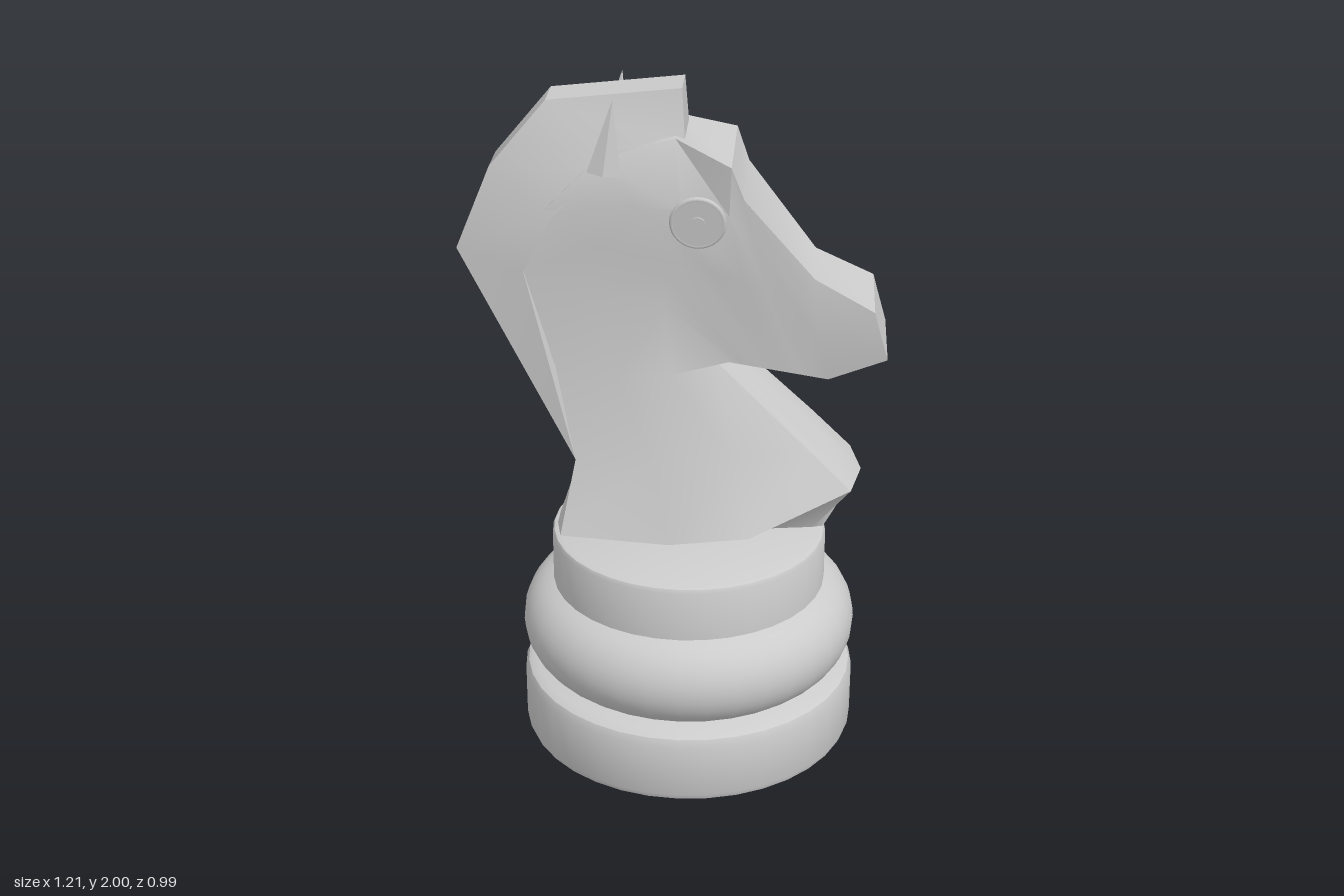
import * as THREE from 'three';
import { toCreasedNormals } from 'three/addons/utils/BufferGeometryUtils.js';

const material = new THREE.MeshStandardMaterial({ color: 0xcccccc });

function addMesh(parent, name, geometry) {
  const mesh = new THREE.Mesh(geometry, material);
  mesh.name = name;
  parent.add(mesh);
  return mesh;
}

// Skins half cross-sections (lists of [x, y, z] from back to front), mirrored in z.
// A last point with z = 0 lies on the centre line and is not doubled.
function loftMirrored(sections, crease) {
  const rings = sections.map((half) => {
    const mirrored = half.filter((p) => p[2] > 0).reverse().map(([x, y, z]) => [x, y, -z]);
    return [...half, ...mirrored];
  });
  const n = rings[0].length;
  const last = rings.length - 1;
  const index = [];
  for (let i = 0; i < last; i++) {
    for (let j = 0; j < n; j++) {
      const a = i * n + j, b = i * n + (j + 1) % n;
      index.push(a, b, b + n, a, b + n, a + n);
    }
  }
  // End caps, as strips between the two mirrored sides
  const o = last * n;
  for (let a = 0; a < Math.floor(n / 2); a++) {
    const b = a + 1, c = n - 2 - a, d = n - 1 - a;
    if (b !== d) index.push(a, d, b, o + a, o + b, o + d);
    if (b < c) index.push(b, d, c, o + b, o + c, o + d);
  }
  const geometry = new THREE.BufferGeometry();
  geometry.setAttribute('position', new THREE.Float32BufferAttribute(rings.flat(2), 3));
  geometry.setIndex(index);
  return toCreasedNormals(geometry, crease);
}

function lathe(points) {
  const profile = points.map(([r, y]) => new THREE.Vector2(r, y));
  return toCreasedNormals(new THREE.LatheGeometry(profile, 36), 0.6);
}

function createBase() {
  const base = new THREE.Group();
  base.name = 'base';
  base.position.x = 0.043;

  addMesh(base, 'foot', lathe([
    [0, 0], [0.475, 0], [0.49, 0.008], [0.497, 0.025],
    [0.497, 0.185], [0.488, 0.208], [0.465, 0.222], [0, 0.222],
  ]));

  // Rounded bulge between the foot and the collar
  const bulge = [[0, 0.222], [0.4, 0.222]];
  for (let i = 0; i <= 12; i++) {
    const a = -1.2 + (2.4 * i) / 12;
    bulge.push([0.357 + 0.14 * Math.cos(a), 0.355 + 0.143 * Math.sin(a)]);
  }
  bulge.push([0.4, 0.492], [0, 0.492]);
  addMesh(base, 'bulge', lathe(bulge));

  addMesh(base, 'collar', lathe([
    [0, 0.48], [0.405, 0.48], [0.405, 0.64], [0.4, 0.651], [0.388, 0.656], [0, 0.656],
  ]));
  return base;
}

// Neck columns: back, two along the side, breast edge; a ridge runs down the breast
function neckSections() {
  const neck = [
    [[-0.345, 0.655, 0.03], [-0.1, 0.655, 0.04], [0.2, 0.655, 0.04], [0.41, 0.655, 0.01]],
    [[-0.31, 0.73, 0.25], [0, 0.71, 0.25], [0.23, 0.76, 0.29], [0.515, 0.85, 0.15]],
    [[-0.27, 0.94, 0.18], [-0.05, 0.95, 0.195], [0.18, 0.97, 0.195], [0.4, 0.965, 0.145]],
    [[-0.345, 1.22, 0.15], [-0.15, 1.2, 0.162], [0, 1.2, 0.157], [0.12, 1.235, 0.12]],
  ];
  return neck.map((half, i) => {
    const [x, y] = half[3];
    return [...half, [i < 3 ? x + 0.03 : x, y, 0]];
  });
}

// Head columns: crown, two down the side; the jaw runs straight from throat to lip
function headSections() {
  const head = [
    [[-0.42, 1.49, 0.125], [-0.25, 1.45, 0.148], [-0.02, 1.41, 0.15]],
    [[-0.35, 1.67, 0.135], [-0.2, 1.58, 0.162], [0, 1.49, 0.155]],
    [[-0.2, 1.82, 0.13], [-0.09, 1.7, 0.18], [0.04, 1.53, 0.155]],
    [[0.01, 1.875, 0.115], [0.03, 1.7, 0.185], [0.11, 1.51, 0.15]],
    [[0.165, 1.82, 0.19], [0.16, 1.68, 0.18], [0.2, 1.48, 0.145]],
    [[0.2, 1.725, 0.175], [0.23, 1.6, 0.155], [0.27, 1.43, 0.135]],
    [[0.395, 1.485, 0.125], [0.4, 1.4, 0.128], [0.41, 1.3, 0.125]],
    [[0.562, 1.4, 0.148], [0.573, 1.36, 0.15], [0.602, 1.26, 0.148]],
  ];
  return head.map((half, i) => {
    const t = (i + 1) / head.length;
    const x = 0.12 + 0.32 * t, y = 1.235 - 0.055 * t;
    return [...half, [x, y, 0.12 - 0.01 * t], [x, y, 0]];
  });
}

function createHorse() {
  const horse = new THREE.Group();
  horse.name = 'horse';
  addMesh(horse, 'headAndNeck', loftMirrored([...neckSections(), ...headSections()], 0.6));

  // Mane columns: outer edge, inner edge sunk into the neck
  addMesh(horse, 'mane', loftMirrored([
    [[-0.27, 0.94, 0.18], [-0.24, 0.95, 0.17]],
    [[-0.605, 1.53, 0.065], [-0.41, 1.49, 0.132]],
    [[-0.505, 1.77, 0.065], [-0.33, 1.65, 0.145]],
    [[-0.345, 1.96, 0.065], [-0.18, 1.79, 0.138]],
    [[0.025, 2, 0.065], [0.035, 1.85, 0.095]],
  ], 0.4));

  for (const side of [1, -1]) {
    const prefix = side > 0 ? 'left' : 'right';

    const earShape = new THREE.ConeGeometry(0.048, 0.21, 5);
    earShape.scale(1, 1, 0.6);
    const ear = addMesh(horse, prefix + 'Ear', toCreasedNormals(earShape, 0.5));
    ear.position.set(-0.168, 1.885, side * 0.142);
    ear.rotation.z = -0.13;

    // Eye: a rim, a shallow disc and a small pupil
    const eye = new THREE.Group();
    eye.name = prefix + 'Eye';
    eye.position.set(0.075, 1.66, side * 0.177);
    eye.rotation.x = side * 0.14;
    const disc = addMesh(eye, 'eyeDisc', new THREE.CylinderGeometry(0.072, 0.072, 0.014, 32));
    disc.rotation.x = Math.PI / 2;
    addMesh(eye, 'eyeRim', new THREE.TorusGeometry(0.07, 0.008, 8, 32));
    const pupil = addMesh(eye, 'pupil', new THREE.CylinderGeometry(0.021, 0.021, 0.022, 20));
    pupil.rotation.x = Math.PI / 2;
    horse.add(eye);
  }
  return horse;
}

export function createModel() {
  const model = new THREE.Group();
  model.name = 'chessKnight';
  model.add(createBase(), createHorse());
  return model;
}
